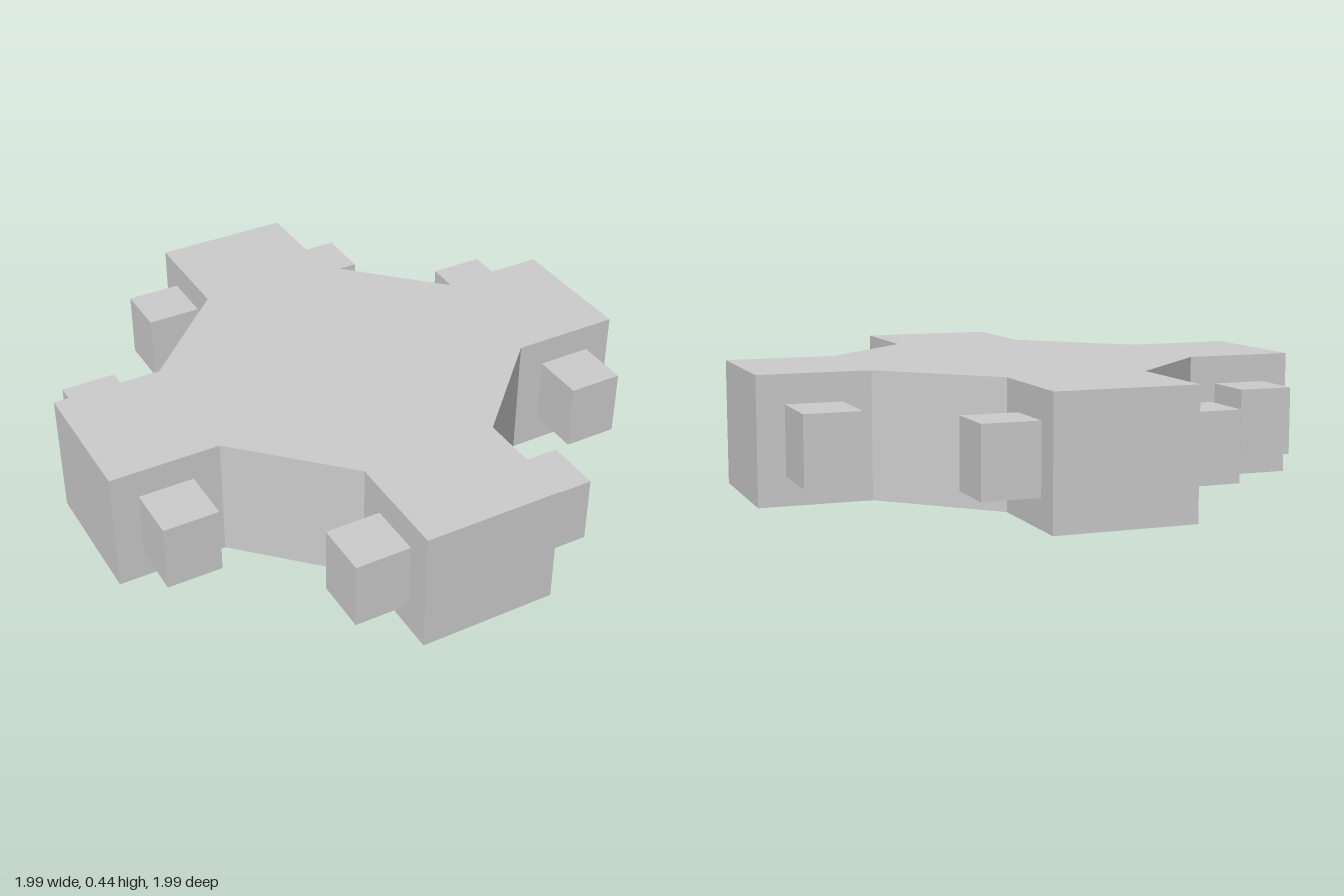
import * as THREE from 'three';

const HEIGHT = 0.435;     // body thickness
const TILT = Math.PI / 8; // turn of the first arm from +x

export function createModel() {
  const model = new THREE.Group();
  model.name = 'crossConnector';
  const material = new THREE.MeshStandardMaterial({ color: 0xcccccc, flatShading: true });

  // Cross body: each arm adds its two inner and two outer corners
  const armProfile = [[0.588, -0.243], [0.974, -0.243], [0.974, 0.243], [0.588, 0.243]];
  const outline = [];
  for (let i = 0; i < 4; i++) {
    for (const [x, y] of armProfile) {
      outline.push(new THREE.Vector2(x, y).rotateAround(new THREE.Vector2(), i * Math.PI / 2 - TILT));
    }
  }
  const bodyGeometry = new THREE.ExtrudeGeometry(new THREE.Shape(outline), { depth: HEIGHT, bevelEnabled: false });
  bodyGeometry.rotateX(-Math.PI / 2);
  const body = new THREE.Mesh(bodyGeometry, material);
  body.name = 'crossBody';
  model.add(body);

  // A square peg on both sides of every arm; one peg on the back arm is longer
  for (let i = 0; i < 4; i++) {
    const pegs = new THREE.Group();
    pegs.name = 'armPegs';
    pegs.rotation.y = i * Math.PI / 2 - TILT;
    for (const side of [-1, 1]) {
      const reach = i === 1 && side === -1 ? 0.488 : 0.437;
      const inner = 0.23; // slightly sunk into the arm
      const peg = new THREE.Mesh(new THREE.BoxGeometry(0.194, 0.237, reach - inner), material);
      peg.name = 'peg';
      peg.position.set(0.783, 0.2175, side * (reach + inner) / 2);
      pegs.add(peg);
    }
    model.add(pegs);
  }
  return model;
}
